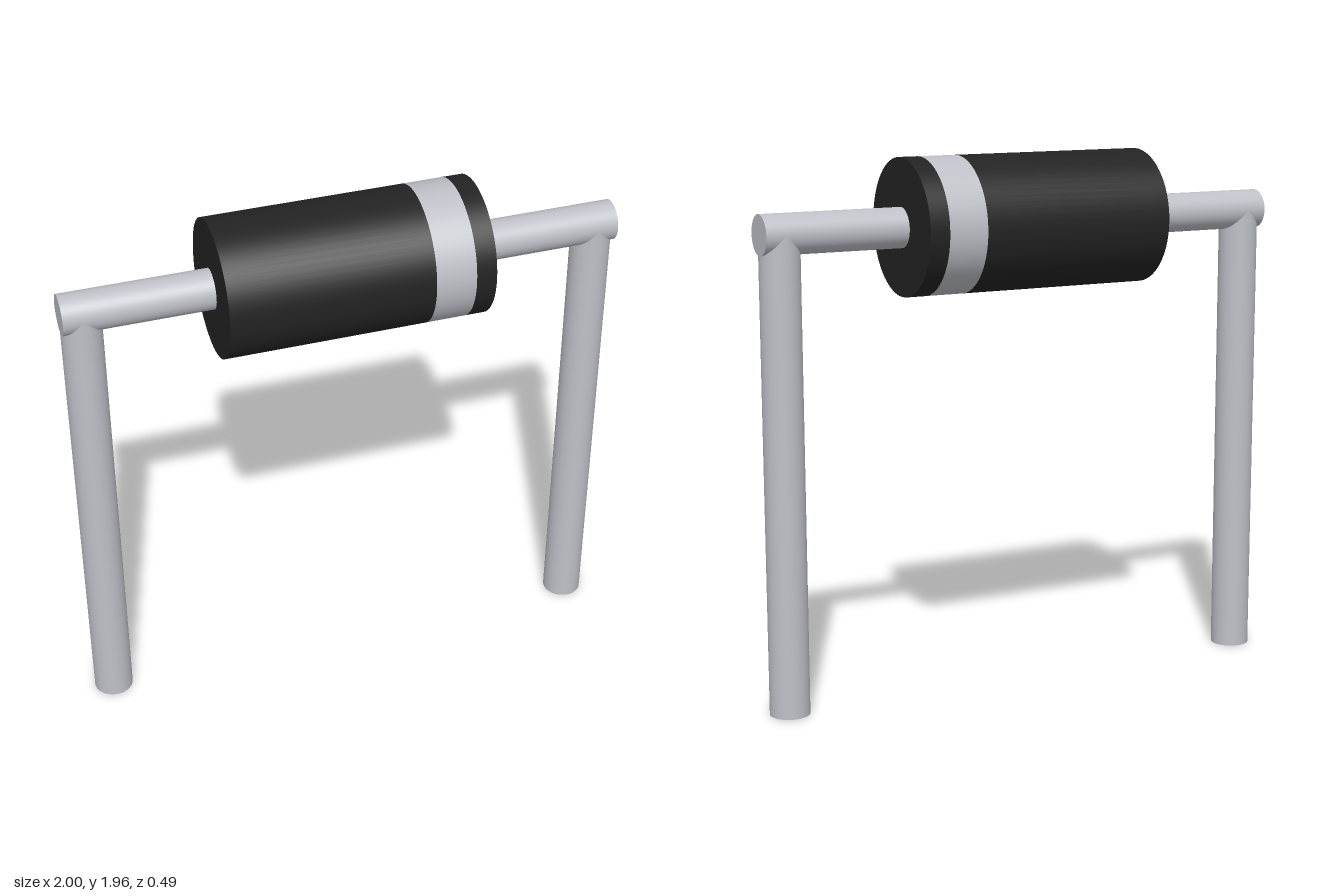
import * as THREE from 'three';

const AXIS_Y = 1.71;   // height of the horizontal axis
const WIRE_R = 0.072;
const BODY_R = 0.245;

export function createModel() {
  const model = new THREE.Group();
  model.name = 'axialComponent';

  const metal = new THREE.MeshStandardMaterial({ color: 0xbfc0c7 });
  metal.name = 'silver metal';
  const plastic = new THREE.MeshStandardMaterial({ color: 0x232323 });
  plastic.name = 'black plastic';

  // Cylinder lying along x between two positions
  function barAlongX(name, x0, x1, radius, material, open = false) {
    const geometry = new THREE.CylinderGeometry(radius, radius, x1 - x0, 64, 1, open);
    geometry.rotateZ(-Math.PI / 2);
    const mesh = new THREE.Mesh(geometry, material);
    mesh.name = name;
    mesh.position.set((x0 + x1) / 2, AXIS_Y, 0);
    model.add(mesh);
  }

  // Body with a flush marking band near the left end
  barAlongX('bodyMain', -0.473, 0.255, BODY_R, plastic);
  barAlongX('markingBand', 0.255, 0.4, BODY_R, metal, true);
  barAlongX('bodyTip', 0.4, 0.473, BODY_R, plastic);

  // Horizontal wires and the legs that meet them at the corners
  for (const [side, s] of [['left', 1], ['right', -1]]) {
    barAlongX(side + 'Wire', s > 0 ? 0.46 : -1, s > 0 ? 1 : -0.46, WIRE_R, metal);

    const leg = new THREE.Mesh(new THREE.CylinderGeometry(WIRE_R, WIRE_R, AXIS_Y, 64), metal);
    leg.name = side + 'Leg';
    leg.position.set(s * (1 - WIRE_R), AXIS_Y / 2, 0);
    model.add(leg);
  }

  return model;
}
